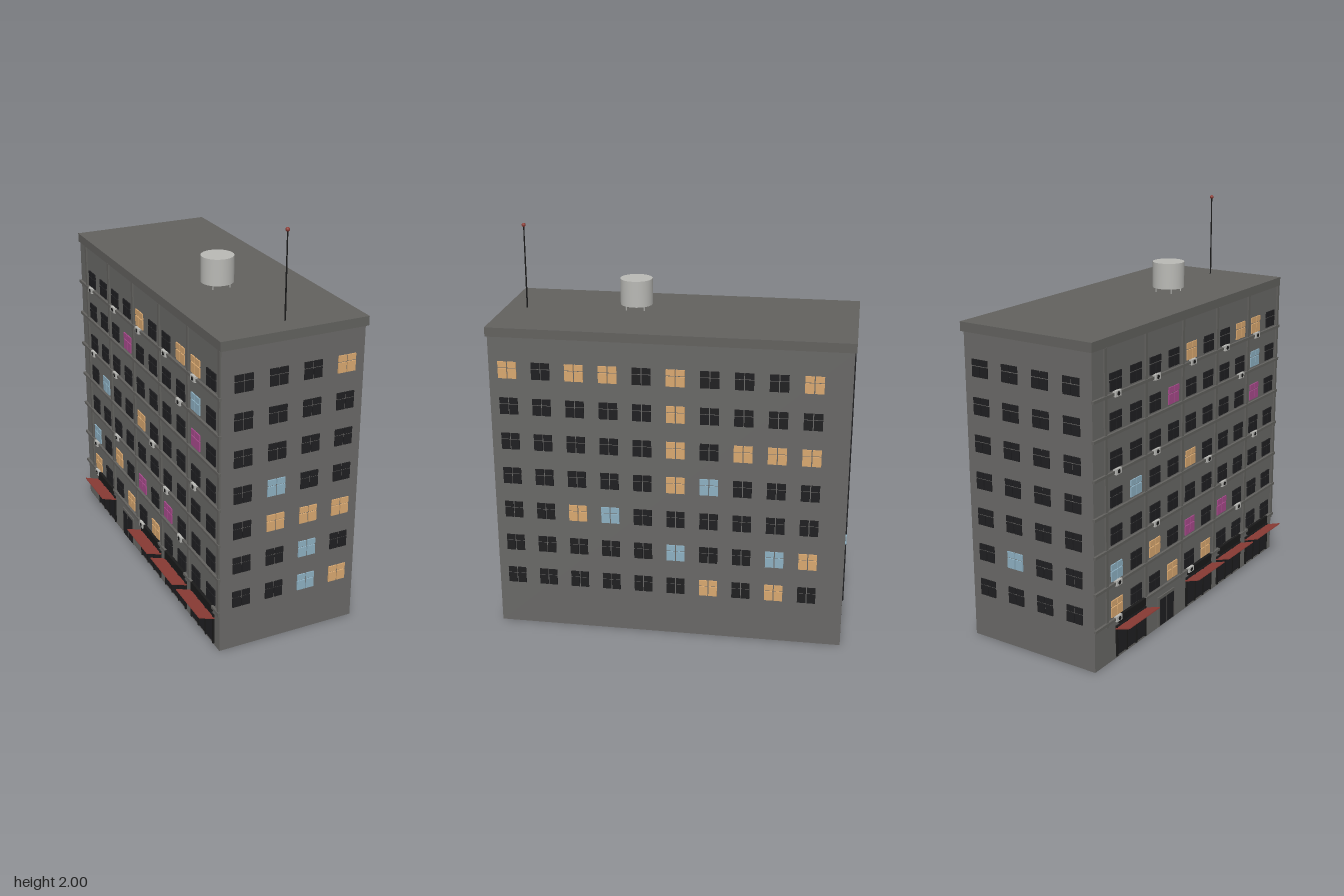
import * as THREE from 'three';
import { mergeGeometries } from 'three/addons/utils/BufferGeometryUtils.js';

const mat = (name, color) => Object.assign(new THREE.MeshStandardMaterial({ color }), { name });

export function createModel() {
  const wall = mat('wall grey', 0x696866);
  const trim = mat('trim grey', 0x62615e);
  const dark = mat('dark glass', 0x1f1f21);
  const warm = mat('warm lit glass', 0xd9a870);
  const cool = mat('cool lit glass', 0x8db0c2);
  const pink = mat('pink lit glass', 0xa84a8c);
  const red = mat('awning red', 0x8e3d36);
  const metal = mat('light metal', 0xb9b9b5);
  const black = mat('black metal', 0x1a1a1a);

  const model = new THREE.Group();
  model.name = 'apartmentBlock';

  const add = (name, geometry, material, x = 0, y = 0, z = 0) => {
    const mesh = new THREE.Mesh(geometry, material);
    mesh.name = name;
    mesh.position.set(x, y, z);
    model.add(mesh);
    return mesh;
  };
  // box given by its minimum and maximum corners
  const span = (name, material, x0, x1, y0, y1, z0, z1) =>
    add(name, new THREE.BoxGeometry(x1 - x0, y1 - y0, z1 - z0), material,
      (x0 + x1) / 2, (y0 + y1) / 2, (z0 + z1) / 2);

  // main volume and roof slab
  const XL = -0.325, XR = 0.392, ZH = 0.866;
  span('building', wall, XL, XR, 0, 1.53, -ZH, ZH);
  span('roofSlab', trim, -0.332, 0.405, 1.53, 1.575, -0.875, 0.873);

  // windows: four panes each, merged by colour on every facade
  const rowY = (r) => 0.268 + r * 0.1828;
  const glass = { '.': dark, w: warm, c: cool, p: pink };
  const W = 0.09, H = 0.084, GAP = 0.005, T = 0.008;

  const facade = (name, turn, offset, firstU, pitch, rows) => {
    const panes = { '.': [], w: [], c: [], p: [] };
    rows.forEach((row, i) => [...row].forEach((kind, col) => {
      const u = firstU + col * pitch, v = rowY(6 - i);
      for (const side of [-1, 1]) {
        for (const [low, high] of [[0, 0.62], [0.62, 1]]) {
          const h = (high - low) * H - GAP / 2;
          const pane = new THREE.BoxGeometry((W - GAP) / 2, h, T);
          const y = v - H / 2 + (low ? high * H - h / 2 : h / 2);
          pane.translate(u + side * (W + GAP) / 4, y, offset + 0.002);
          panes[kind].push(pane);
        }
      }
    }));
    for (const kind in panes) {
      if (!panes[kind].length) continue;
      add(`${name} ${glass[kind].name}`, mergeGeometries(panes[kind]), glass[kind]).rotation.y = turn;
    }
  };

  facade('frontWindows', 0, ZH, -0.215, 0.172,
    ['...w', '....', '....', '.c..', '.www', '..c.', '..cw']);
  facade('leftWindows', Math.PI / 2, XR, -0.775, 0.1628,
    ['w.ww.w...w', '.....w....', '.....w.www', '.....wc...', '..wc......', '.....c..cw', '......w.w.']);
  facade('backWindows', Math.PI, ZH, -0.301, 0.172,
    ['....', '....', '....', '....', '....', '.c..', '....']);
  facade('streetWindows', -Math.PI / 2, -XL, -0.69, 0.1628,
    ['....w..ww.', '...p....c.', '........p.', '.c..w.....', '..........', 'c.w.p.p...', 'w..w.w....']);

  // street facade: pilasters and floor ledges
  for (let i = 0; i < 6; i++) {
    const z = -0.771 + i * 0.3256;
    span('pilaster', trim, -0.333, XL, 0.19, 1.53, z - 0.009, z + 0.009);
  }
  for (let r = 0; r < 7; r++) {
    const y = rowY(r) - 0.058;
    span('floorLedge', trim, -0.337, XL, y - 0.007, y + 0.007, -0.872, 0.872);
  }

  // air conditioners under some street windows: [column, row]
  const units = [[0, 6], [2, 6], [4, 6], [6, 6], [8, 6], [7, 5], [0, 4], [2, 4],
    [5, 3], [8, 3], [2, 2], [6, 2], [0, 1], [7, 1], [4, 0], [0, 0]];
  for (const [c, r] of units) {
    const z = -0.69 + c * 0.1628, y = rowY(r) - 0.056;
    span('airConditioner', metal, -0.344, XL, y - 0.014, y + 0.014, z - 0.022, z + 0.022);
    const fan = add('airConditionerFan', new THREE.CylinderGeometry(0.01, 0.01, 0.003, 12), black, -0.3445, y, z);
    fan.rotation.z = Math.PI / 2;
  }

  // ground floor bays: four shops with awnings and one entrance
  for (let i = 0; i < 5; i++) {
    const z = -0.572 + i * 0.3148;
    if (i === 1) {
      span('entranceFrame', trim, -0.331, XL, 0.005, 0.165, z - 0.075, z + 0.075);
      for (const s of [-1, 1])
        span('entranceDoor', dark, -0.334, -0.33, 0.01, 0.15, z + s * 0.034 - 0.029, z + s * 0.034 + 0.029);
      continue;
    }
    span('shopWindow', dark, -0.33, XL, 0.015, 0.17, z - 0.125, z + 0.125);
    for (const s of [-1, -0.33, 0.33, 1])
      span('shopMullion', black, -0.334, XL, 0.01, 0.17, z + s * 0.122 - 0.004, z + s * 0.122 + 0.004);
    span('shopSign', black, -0.34, XL, 0.18, 0.22, z - 0.11, z + 0.11);
    const awning = add('awning', new THREE.BoxGeometry(0.084, 0.005, 0.265), red, -0.368, 0.168, z);
    awning.rotation.z = -0.31;
  }

  // water tank on slim legs
  add('waterTank', new THREE.CylinderGeometry(0.08, 0.08, 0.13, 32), metal, -0.03, 1.665, 0.22);
  for (const sx of [-1, 1])
    for (const sz of [-1, 1])
      add('tankLeg', new THREE.CylinderGeometry(0.003, 0.003, 0.026, 6), metal, -0.03 + sx * 0.045, 1.588, 0.22 + sz * 0.045);

  // antenna with a red beacon
  add('antenna', new THREE.CylinderGeometry(0.003, 0.004, 0.415, 8), black, 0.038, 1.782, 0.762);
  add('beacon', new THREE.SphereGeometry(0.01, 12, 8), red, 0.038, 1.99, 0.762);

  return model;
}
